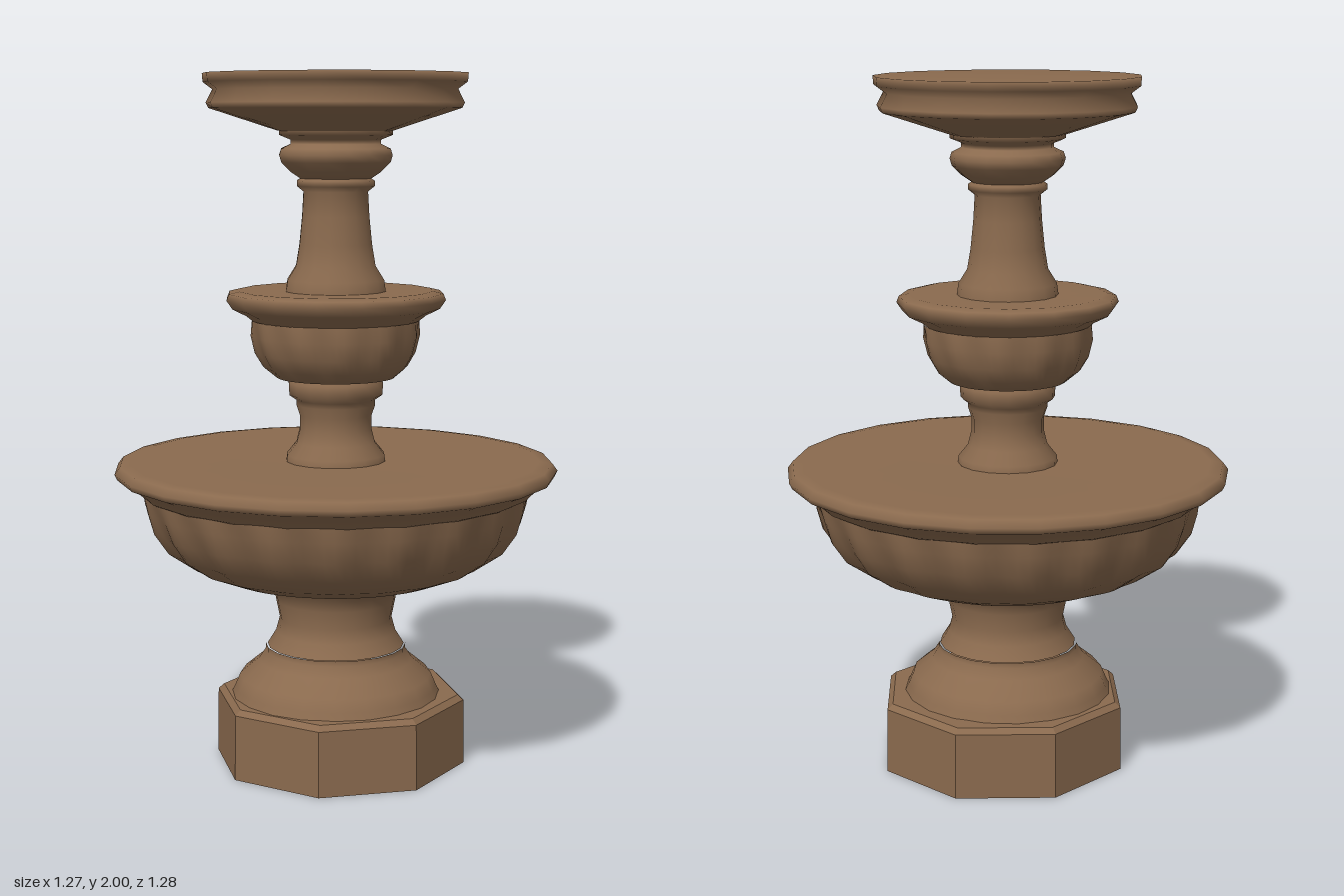
import * as THREE from 'three';
import { toCreasedNormals } from 'three/addons/utils/BufferGeometryUtils.js';

const stone = new THREE.MeshStandardMaterial({ color: 0x8a6a4e });
stone.name = 'brown stone';

function turned(name, profile, sides) {
  const points = profile.map(([r, y]) => new THREE.Vector2(r, y));
  const mesh = new THREE.Mesh(new THREE.LatheGeometry(points, sides), stone);
  mesh.name = name;
  return mesh;
}

// Turned bowl whose wall swells in and out; the flutes fade at both ends.
function flutedBowl(name, profile, flutes, depth) {
  const mesh = turned(name, profile, flutes * 6);
  const p = mesh.geometry.attributes.position;
  const y0 = profile[0][1], y1 = profile[profile.length - 1][1];
  for (let i = 0; i < p.count; i++) {
    const x = p.getX(i), y = p.getY(i), z = p.getZ(i);
    const fade = Math.sin(Math.PI * (y - y0) / (y1 - y0));
    const k = 1 + depth * fade * Math.cos(flutes * Math.atan2(x, z));
    p.setXYZ(i, x * k, y, z * k);
  }
  mesh.geometry = toCreasedNormals(mesh.geometry, 1.2);
  return mesh;
}

export function createModel() {
  const fountain = new THREE.Group();
  fountain.name = 'fountain';

  // Octagonal plinth
  const plinth = turned('plinth', [[0, 0], [0.37, 0], [0.367, 0.19], [0.35, 0.205], [0, 0.215]], 8);
  plinth.geometry = toCreasedNormals(plinth.geometry, 0.5);
  plinth.position.x = 0.015;
  fountain.add(plinth);

  // Pedestal under the large basin
  fountain.add(turned('pedestalFoot', [
    [0.31, 0.195], [0.295, 0.225], [0.28, 0.26], [0.225, 0.305], [0.205, 0.335], [0.205, 0.35],
  ], 20));
  fountain.add(turned('pedestal', [
    [0.2, 0.35], [0.175, 0.39], [0.164, 0.43], [0.175, 0.485], [0.18, 0.515],
    [0.2, 0.53], [0.203, 0.55], [0.19, 0.57],
  ], 20));

  // Large basin with rolled rim and filled top
  fountain.add(flutedBowl('largeBasin', [
    [0.18, 0.56], [0.34, 0.568], [0.42, 0.6], [0.49, 0.65], [0.53, 0.71], [0.55, 0.77], [0.56, 0.815],
  ], 20, 0.018));
  fountain.add(turned('largeBasinRim', [
    [0.55, 0.805], [0.57, 0.815], [0.6, 0.845], [0.632, 0.858], [0.64, 0.875], [0.625, 0.895],
    [0.59, 0.9], [0.3, 0.896], [0, 0.896],
  ], 22));

  // Lower column
  fountain.add(turned('lowerColumn', [
    [0.145, 0.89], [0.143, 0.915], [0.115, 0.95], [0.105, 0.99], [0.105, 1.03], [0.115, 1.06],
    [0.115, 1.075], [0.136, 1.09], [0.138, 1.125], [0.12, 1.14],
  ], 16));

  // Middle basin
  fountain.add(flutedBowl('middleBasin', [
    [0.12, 1.133], [0.17, 1.14], [0.205, 1.17], [0.227, 1.21], [0.24, 1.26], [0.24, 1.305],
  ], 12, 0.025));
  fountain.add(turned('middleBasinRim', [
    [0.235, 1.3], [0.26, 1.32], [0.3, 1.34], [0.317, 1.365], [0.31, 1.383], [0.28, 1.39],
    [0.15, 1.387], [0, 1.387],
  ], 16));

  // Upper column with its collars
  fountain.add(turned('upperColumn', [
    [0.145, 1.385], [0.14, 1.42], [0.115, 1.46], [0.105, 1.52], [0.097, 1.6], [0.093, 1.67],
    [0.112, 1.685], [0.112, 1.7], [0.1, 1.708],
  ], 16));
  fountain.add(turned('upperCollar', [
    [0.1, 1.705], [0.13, 1.725], [0.157, 1.752], [0.163, 1.772], [0.157, 1.79], [0.13, 1.803],
    [0.13, 1.815], [0.163, 1.828], [0.163, 1.845],
  ], 16));

  // Top dish
  fountain.add(turned('topDish', [
    [0.12, 1.835], [0.165, 1.84], [0.36, 1.903], [0.367, 1.918], [0.348, 1.955], [0.375, 1.975],
    [0.377, 2], [0, 2],
  ], 17));

  return fountain;
}
